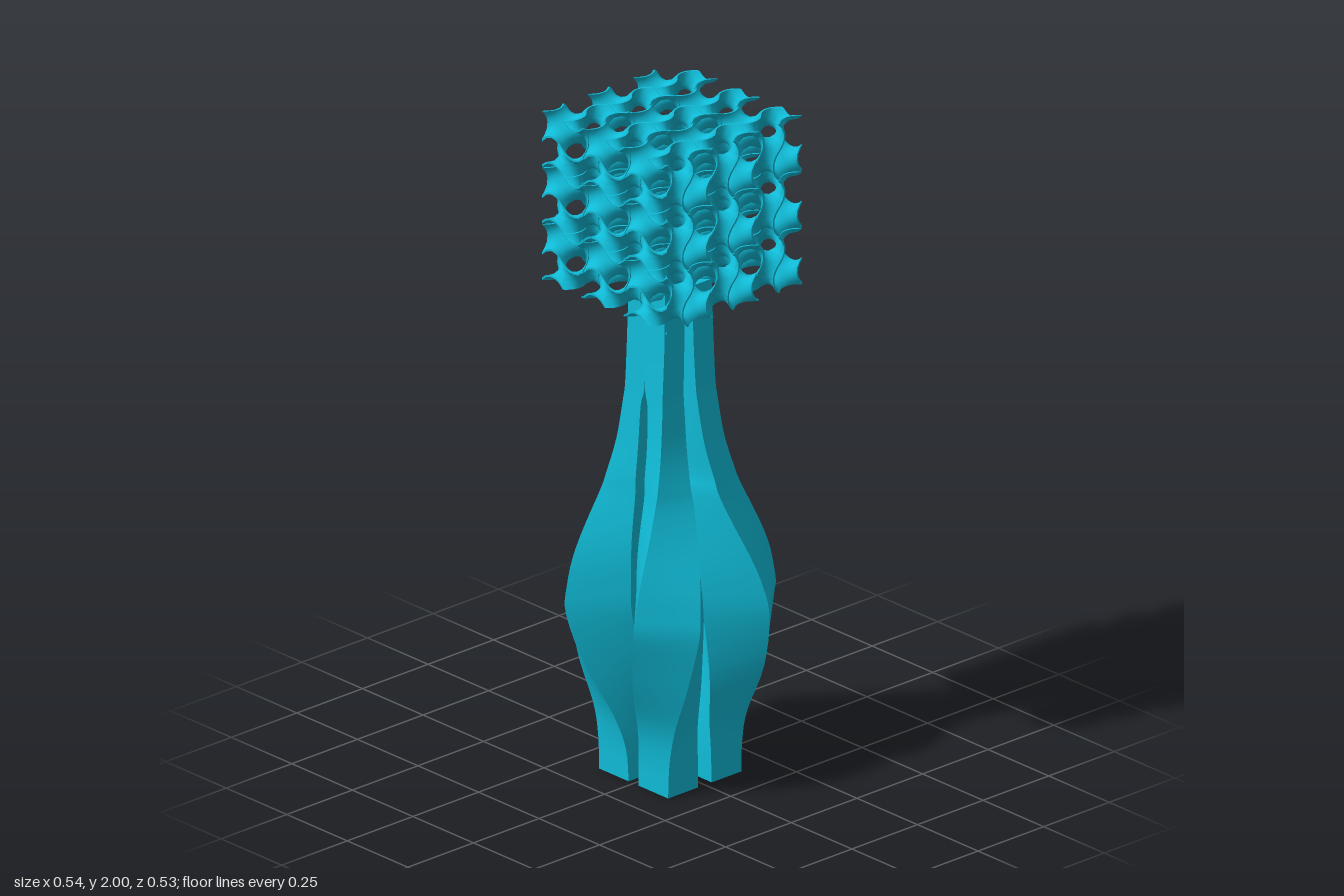
import * as THREE from 'three';
import { toCreasedNormals } from 'three/addons/utils/BufferGeometryUtils.js';

const material = new THREE.MeshStandardMaterial({ color: 0x10bcd8 });

// ---------- lattice cell: a thin gyroid sheet, one period per cell ----------
const { sin, cos, PI } = Math;
const T = 2 * PI;
const LOW = 0.003, HIGH = 0.28; // the sheet fills the space between these levels

const field = (p) => {
  const [x, y, z] = p.map((v) => v * T);
  return sin(x) * cos(z) + sin(y) * cos(x) - sin(z) * cos(y);
};
const gradient = (p) => {
  const [x, y, z] = p.map((v) => v * T);
  return new THREE.Vector3(
    cos(x) * cos(z) - sin(y) * sin(x),
    cos(y) * cos(x) + sin(z) * sin(y),
    -sin(x) * sin(z) - cos(z) * cos(y)).normalize();
};

// point on the edge a-b where the field crosses a level
function crossing(a, b, level) {
  const aboveA = field(a) > level;
  let lo = 0, hi = 1;
  const at = (t) => a.map((v, i) => v + (b[i] - v) * t);
  for (let i = 0; i < 12; i++) {
    const mid = (lo + hi) / 2;
    if ((field(at(mid)) > level) === aboveA) lo = mid; else hi = mid;
  }
  return at((lo + hi) / 2);
}

// keep the part of a polygon above (sign 1) or below (sign -1) a level
function clip(poly, level, sign) {
  const out = [];
  poly.forEach((a, i) => {
    const b = poly[(i + 1) % poly.length];
    const inA = sign * (field(a) - level) > 0, inB = sign * (field(b) - level) > 0;
    if (inA) out.push(a);
    if (inA !== inB) out.push(crossing(a, b, level));
  });
  return out;
}

function cellGeometry(n) {
  const positions = [], normals = [];
  const e1 = new THREE.Vector3(), e2 = new THREE.Vector3();

  // add one triangle, turned to agree with its normals
  const emit = (a, b, c, normalAt) => {
    e1.set(b[0] - a[0], b[1] - a[1], b[2] - a[2]);
    e2.set(c[0] - a[0], c[1] - a[1], c[2] - a[2]);
    e1.cross(e2);
    if (e1.lengthSq() < 1e-14) return;
    const tri = e1.dot(normalAt(a)) < 0 ? [a, c, b] : [a, b, c];
    for (const p of tri) {
      positions.push(p[0] - 0.5, p[1] - 0.5, p[2] - 0.5);
      normals.push(...normalAt(p).toArray());
    }
  };

  // both skins of the sheet, by splitting each grid cube into six tetrahedra
  const orders = [[0, 1, 2], [0, 2, 1], [1, 0, 2], [1, 2, 0], [2, 0, 1], [2, 1, 0]];
  for (let i = 0; i < n; i++) for (let j = 0; j < n; j++) for (let k = 0; k < n; k++) {
    for (const order of orders) {
      const corner = [i, j, k];
      const tet = [corner.map((v) => v / n)];
      for (const axis of order) {
        corner[axis]++;
        tet.push(corner.map((v) => v / n));
      }
      for (const [level, sign] of [[LOW, -1], [HIGH, 1]]) {
        const above = tet.filter((p) => field(p) > level);
        const below = tet.filter((p) => field(p) <= level);
        if (!above.length || !below.length) continue;
        const normalAt = (p) => gradient(p).multiplyScalar(sign);
        const cut = (a, b) => crossing(a, b, level);
        if (above.length === 2) {
          const q = [cut(above[0], below[0]), cut(above[0], below[1]),
            cut(above[1], below[1]), cut(above[1], below[0])];
          emit(q[0], q[1], q[2], normalAt);
          emit(q[0], q[2], q[3], normalAt);
        } else {
          const [one, three] = above.length === 1 ? [above[0], below] : [below[0], above];
          emit(...three.map((p) => cut(one, p)), normalAt);
        }
      }
    }
  }

  // rims of the sheet on the six faces of the cell
  for (let axis = 0; axis < 3; axis++) for (const side of [0, 1]) {
    const normal = new THREE.Vector3().setComponent(axis, side ? 1 : -1);
    const point = (u, v) => {
      const p = [0, 0, 0];
      p[axis] = side;
      p[(axis + 1) % 3] = u / n;
      p[(axis + 2) % 3] = v / n;
      return p;
    };
    for (let u = 0; u < n; u++) for (let v = 0; v < n; v++) {
      for (const mid of [point(u + 1, v), point(u, v + 1)]) {
        const band = clip(clip([point(u, v), mid, point(u + 1, v + 1)], LOW, 1), HIGH, -1);
        for (let i = 2; i < band.length; i++) emit(band[0], band[i - 1], band[i], () => normal);
      }
    }
  }

  const geometry = new THREE.BufferGeometry();
  geometry.setAttribute('position', new THREE.Float32BufferAttribute(positions, 3));
  geometry.setAttribute('normal', new THREE.Float32BufferAttribute(normals, 3));
  return geometry;
}

// ---------- legs: square sections that swell and turn on the way up ----------
// height, inner x, outer x, inner z, outer z, turn in degrees
const SECTIONS = [
  [0, 0.026, 0.14, 0.02, 0.143, 0],
  [0.1, 0.025, 0.145, 0.02, 0.147, 3],
  [0.2, 0.022, 0.17, 0.019, 0.168, 14],
  [0.35, 0.014, 0.232, 0.015, 0.228, 32],
  [0.51, 0.0, 0.27, 0.011, 0.264, 45],
  [0.6, -0.003, 0.262, 0.011, 0.256, 49],
  [0.7, -0.003, 0.235, 0.013, 0.225, 55],
  [0.86, 0.001, 0.167, 0.018, 0.155, 67],
  [0.92, 0.014, 0.146, 0.018, 0.133, 73],
  [1.02, 0.018, 0.121, 0.018, 0.105, 80],
  [1.14, 0.02, 0.105, 0.014, 0.086, 86],
  [1.2, 0.02, 0.1, 0.001, 0.08, 88],
  [1.35, 0.017, 0.093, 0, 0.077, 90],
  [1.5, 0.015, 0.09, 0, 0.075, 90],
];

function legGeometry(sx, sz) {
  const steps = 4, positions = [], index = [];
  const column = (c) => new THREE.SplineCurve(SECTIONS.map((s) => new THREE.Vector2(s[0], s[c])));
  const columns = [1, 2, 3, 4, 5].map(column);
  const last = (SECTIONS.length - 1) * steps;
  for (let i = 0; i <= last; i++) {
    const pts = columns.map((curve) => curve.getPoint(i / last));
    const [xi, xo, zi, zo, turn] = pts.map((p) => p.y);
    for (let k = 0; k < 4; k++) {
      const a = THREE.MathUtils.degToRad(turn + 45 + 90 * k);
      const reach = Math.max(Math.abs(cos(a)), Math.abs(sin(a)));
      positions.push(
        sx * ((xi + xo) / 2 + (xo - xi) / 2 * cos(a) / reach),
        pts[0].x,
        sz * ((zi + zo) / 2 + (zo - zi) / 2 * sin(a) / reach));
    }
  }
  const face = (a, b, c) => index.push(...(sx * sz > 0 ? [a, b, c] : [a, c, b]));
  for (let i = 0; i < last; i++) for (let k = 0; k < 4; k++) {
    const a = i * 4 + k, b = i * 4 + (k + 1) % 4;
    face(a, a + 4, b);
    face(b, a + 4, b + 4);
  }
  // end caps
  const t = last * 4;
  face(0, 1, 2); face(0, 2, 3);
  face(t, t + 2, t + 1); face(t, t + 3, t + 2);
  const geometry = new THREE.BufferGeometry();
  geometry.setAttribute('position', new THREE.Float32BufferAttribute(positions, 3));
  geometry.setIndex(index);
  return toCreasedNormals(geometry, 0.6);
}

export function createModel() {
  const model = new THREE.Group();
  model.name = 'latticeTower';

  // four legs
  const legs = new THREE.Group();
  legs.name = 'legs';
  for (const sx of [1, -1]) for (const sz of [1, -1]) {
    const leg = new THREE.Mesh(legGeometry(sx, sz), material);
    leg.name = (sz > 0 ? 'front' : 'back') + (sx > 0 ? 'Left' : 'Right') + 'Leg';
    legs.add(leg);
  }

  // 3 x 3 x 3 block of cells with hairline gaps
  const block = new THREE.Group();
  block.name = 'latticeBlock';
  block.position.set(0.015, 1.742, -0.009);
  const geometry = cellGeometry(9), size = 0.17, pitch = 0.173;
  for (const x of [-1, 0, 1]) for (const y of [-1, 0, 1]) for (const z of [-1, 0, 1]) {
    const cell = new THREE.Mesh(geometry, material);
    cell.name = 'latticeCell';
    cell.scale.setScalar(size);
    cell.position.set(x * pitch, y * pitch, z * pitch);
    block.add(cell);
  }

  model.add(legs, block);
  return model;
}
